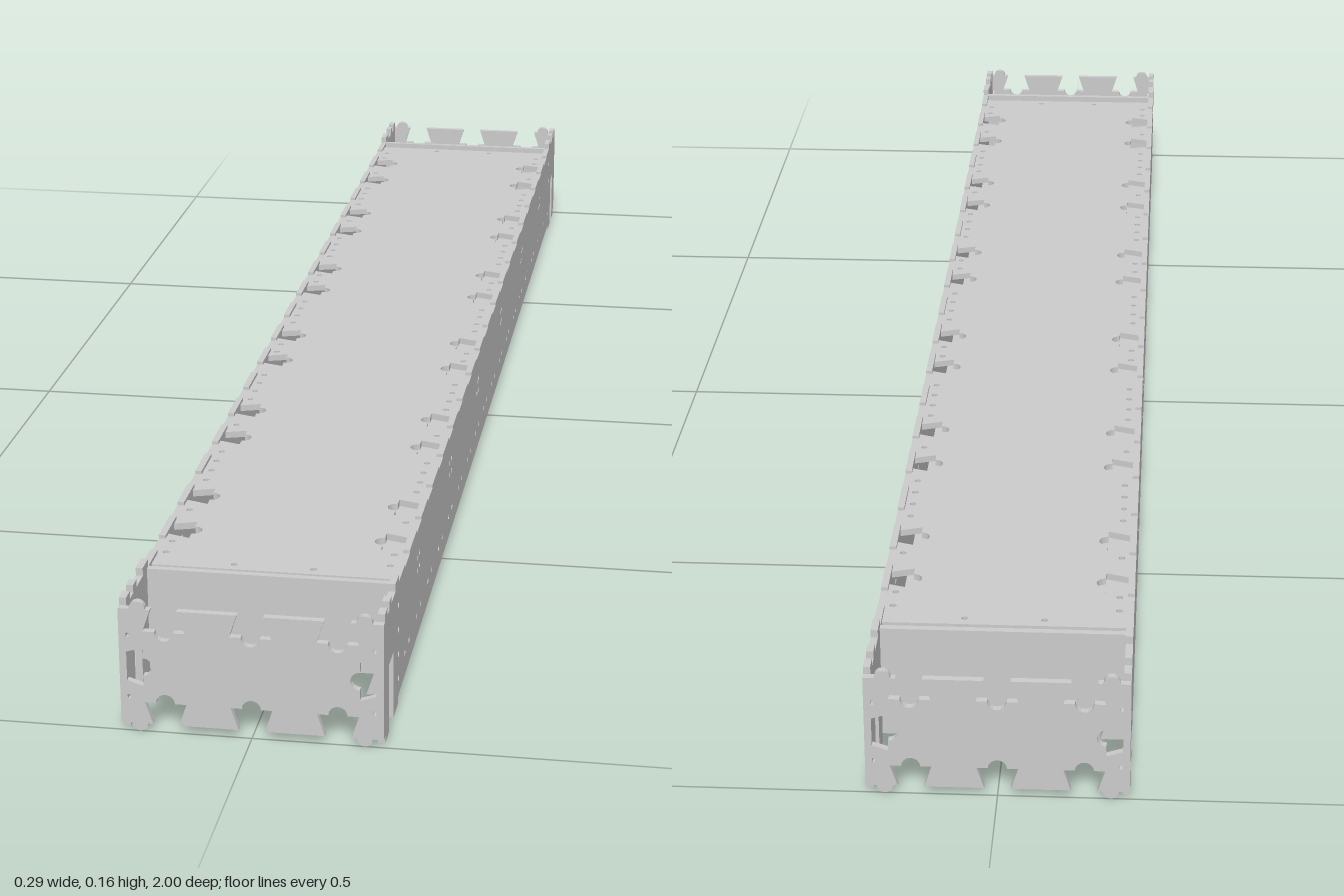
import * as THREE from 'three';

const material = new THREE.MeshStandardMaterial({ color: 0xcccccc, side: THREE.DoubleSide });
const T = 0.008; // sheet thickness

// Dovetail cut: [along, inward] points, with a rounded relief at its base
function dovetail(mid, relief = true) {
  const pts = [[-0.0145, 0], [-0.023, 0.026]];
  if (relief) {
    for (let i = 0; i <= 8; i++) {
      const a = Math.PI * (1 - i / 8);
      pts.push([0.0105 * Math.cos(a), 0.026 + 0.0105 * Math.sin(a)]);
    }
  }
  pts.push([0.023, 0.026], [0.0145, 0]);
  return pts.map(([a, d]) => [a + mid, d]);
}

// Rounded bump standing out from an edge
function bump(mid) {
  const pts = [];
  for (let i = 0; i <= 8; i++) {
    const a = Math.PI * (1 - i / 8);
    pts.push([mid + 0.009 * Math.cos(a), -0.009 * Math.sin(a)]);
  }
  return pts;
}

// Rectangular step: positive depth cuts in, negative stands out
const step = (a, b, d) => [[a, 0], [a, d], [b, d], [b, 0]];

// Rectangle w x h about the origin; features are listed for each edge
// in counter-clockwise order: bottom, right, top, left.
function plateShape(w, h, edges) {
  const shape = new THREE.Shape();
  const dirs = [[1, 0], [0, 1], [-1, 0], [0, -1]];
  const points = [];
  dirs.forEach(([dx, dy], i) => {
    const half = (i % 2 ? h : w) / 2;
    const out = (i % 2 ? w : h) / 2;
    const features = [...(edges[i] || [])].sort((p, q) => p[0][0] - q[0][0]);
    for (const [a, d] of [[-half, 0], ...features.flat()]) {
      points.push(new THREE.Vector2(dx * a + dy * (out - d), dy * a - dx * (out - d)));
    }
  });
  shape.setFromPoints(points);
  return shape;
}

function drill(shape, x, y, r = 0.004) {
  const hole = new THREE.Path();
  hole.absarc(x, y, r, 0, Math.PI * 2, true);
  shape.holes.push(hole);
}

function plate(name, shape) {
  const geometry = new THREE.ExtrudeGeometry(shape, { depth: T, bevelEnabled: false, curveSegments: 4 });
  geometry.translate(0, 0, -T / 2);
  const mesh = new THREE.Mesh(geometry, material);
  mesh.name = name;
  return mesh;
}

export function createModel() {
  const model = new THREE.Group();
  model.name = 'boxGirder';
  const three = [-0.095, 0, 0.095];
  const midY = 0.0775;

  // Outer end plates with dovetails on all four edges
  const rim = [...three.map((x) => dovetail(x)), bump(-0.124), bump(0.124)];
  const endShape = plateShape(0.29, 0.137, [rim, [dovetail(0)], rim, [dovetail(0)]]);
  for (const s of [-1, 1]) {
    for (const y of [-0.037, 0.037]) drill(endShape, s * 0.136, y, 0.003);
  }
  // Inner bulkheads, open along the bottom edge only
  const bulkheadShape = plateShape(0.274, 0.137, [three.map((x) => dovetail(x, false))]);
  for (const s of [-1, 1]) {
    const end = plate('endPlate', endShape);
    end.position.set(0, midY, s * (1 - T / 2));
    const bulkhead = plate('bulkhead', bulkheadShape);
    bulkhead.position.set(0, midY, s * 0.892);
    model.add(end, bulkhead);
  }

  // Side plates: feet, corner tabs, end slots, rim nicks and bolt holes
  const bottom = [], top = [];
  for (const s of [-1, 1]) {
    const span = (a, b, d) => step(Math.min(s * a, s * b), Math.max(s * a, s * b), d);
    bottom.push([
      ...[[0.895, 0], [0.895, -0.009], [0.93, -0.009], [0.93, 0.072], [0.963, 0.072],
        [0.963, -0.009], [0.99, -0.009], [0.99, 0]].map(([a, d]) => [s * a, d]),
    ]);
    if (s < 0) bottom[bottom.length - 1].reverse();
    top.push(span(0.975, 0.992, -0.009), span(0.945, 0.96, -0.009), span(0.89, 0.915, -0.009));
  }
  for (let i = 0; i < 18; i++) {
    const z = -0.825 + i * 0.097;
    top.push(step(z - 0.02, z + 0.02, 0.004));
  }
  const sideShape = plateShape(2, 0.137, [bottom, [], top, []]);
  for (let i = 0; i < 18; i++) {
    const z = -0.825 + i * 0.097;
    for (const d of [-0.017, 0.017]) drill(sideShape, z + d, 0.037 - midY);
  }
  for (let i = 0; i < 6; i++) {
    const z = -0.73 + i * 0.292;
    for (const dz of [-0.008, 0.008]) for (const dy of [-0.008, 0.008]) {
      drill(sideShape, z + dz, 0.1 + dy - midY, 0.004);
    }
  }
  for (const s of [-1, 1]) {
    for (const y of [0.03, 0.06, 0.09, 0.12]) drill(sideShape, s * 0.892, y - midY, 0.004);
    const side = plate(s > 0 ? 'leftSide' : 'rightSide', sideShape);
    side.rotation.y = Math.PI / 2;
    side.position.set(s * (0.145 - T / 2), midY, 0);
    model.add(side);
  }

  // Top deck with paired dovetails and a row of small holes down each edge
  const pairs = [0.1, 0.2, 0.39, 0.485, 0.675, 0.775];
  const cuts = [...pairs, ...pairs.map((z) => -z)];
  const cutEdge = cuts.map((z) => dovetail(z));
  const deckShape = plateShape(0.274, 1.75, [[], cutEdge, [], cutEdge]);
  for (let i = 0; i < 56; i++) {
    const z = -0.84 + i * 0.0305;
    if (cuts.some((c) => Math.abs(c - z) < 0.03)) continue;
    for (const s of [-1, 1]) drill(deckShape, s * 0.128, z);
  }
  for (const x of [-0.045, 0.045]) for (const z of [-0.862, 0.862]) drill(deckShape, x, z);
  const deck = plate('topDeck', deckShape);
  deck.rotation.x = -Math.PI / 2;
  deck.position.y = 0.138;

  // Raised floor closing the underside
  const floor = plate('floor', plateShape(0.274, 1.75, []));
  floor.rotation.x = -Math.PI / 2;
  floor.position.y = 0.041;
  model.add(deck, floor);

  return model;
}
